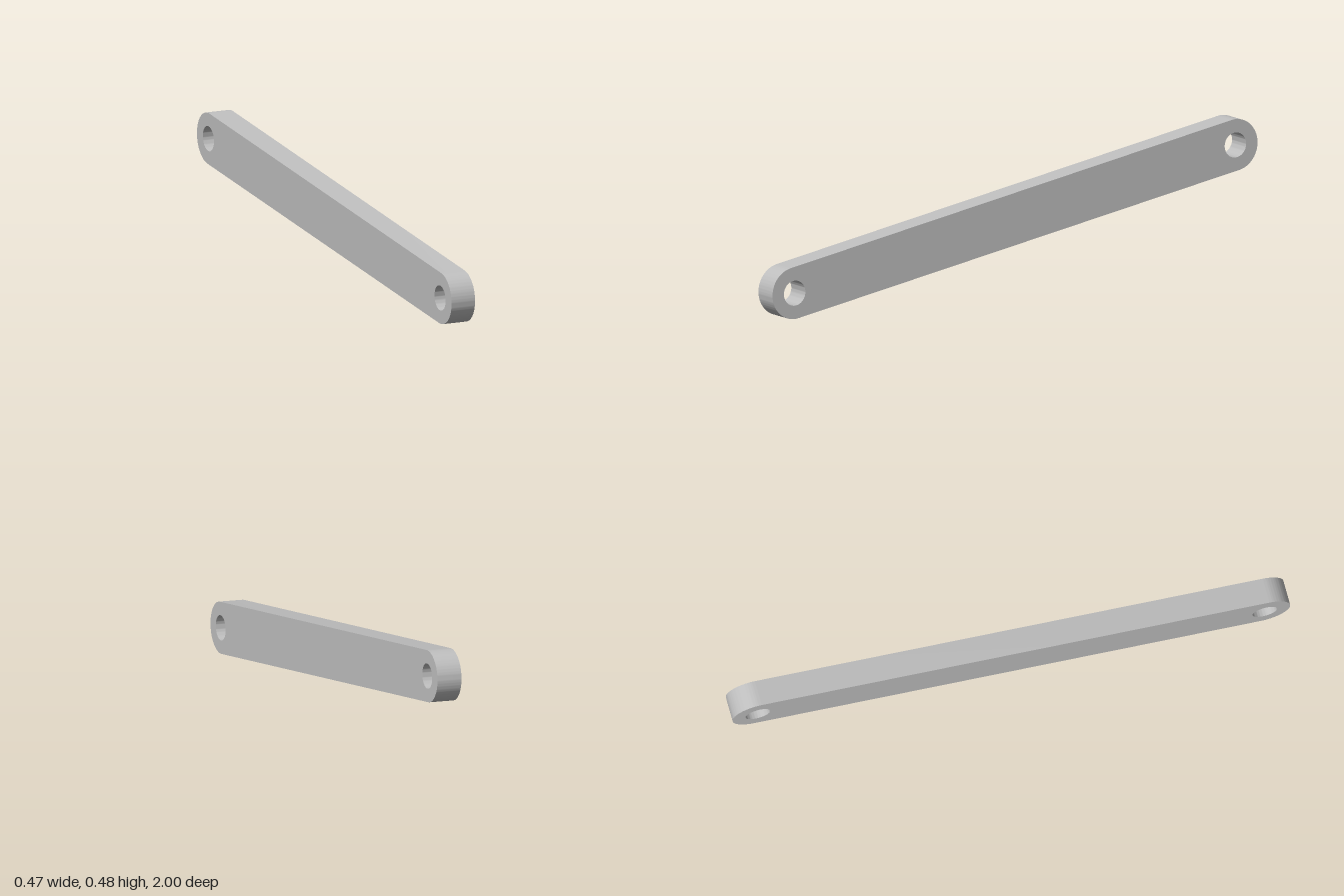
import * as THREE from 'three';
import { toCreasedNormals } from 'three/addons/utils/BufferGeometryUtils.js';

export function createModel() {
  const group = new THREE.Group();
  group.name = 'linkBar';
  const grey = new THREE.MeshStandardMaterial({ color: 0xbfbfbf });
  grey.name = 'grey';

  const radius = 0.0918, holeRadius = 0.0445, thickness = 0.091;
  const axis = new THREE.Vector3(0.343, 0.2965, -1.802); // pin centre to pin centre
  const half = axis.length() / 2;

  // Rounded bar outline with a pin hole at each end
  const outline = new THREE.Shape();
  outline.absarc(half, 0, radius, -Math.PI / 2, Math.PI / 2, false);
  outline.absarc(-half, 0, radius, Math.PI / 2, Math.PI * 1.5, false);
  outline.closePath();
  for (const x of [-half, half]) {
    const hole = new THREE.Path();
    hole.absarc(x, 0, holeRadius, 0, Math.PI * 2, true);
    outline.holes.push(hole);
  }
  let geometry = new THREE.ExtrudeGeometry(outline, {
    depth: thickness, bevelEnabled: false, curveSegments: 40,
  });
  geometry.translate(0, 0, -thickness / 2);
  geometry = toCreasedNormals(geometry, 0.5);

  // Tilt the bar along its axis, with its flat faces nearly sideways
  const along = axis.clone().normalize();
  const across = new THREE.Vector3(0.981, 0.033, 0.192);
  const up = new THREE.Vector3().crossVectors(across, along).normalize();
  across.crossVectors(along, up);
  geometry.applyMatrix4(new THREE.Matrix4().makeBasis(along, up, across));

  // Stand on the ground
  geometry.computeBoundingBox();
  geometry.translate(0, -geometry.boundingBox.min.y, 0);

  const bar = new THREE.Mesh(geometry, grey);
  bar.name = 'bar';
  group.add(bar);
  return group;
}
